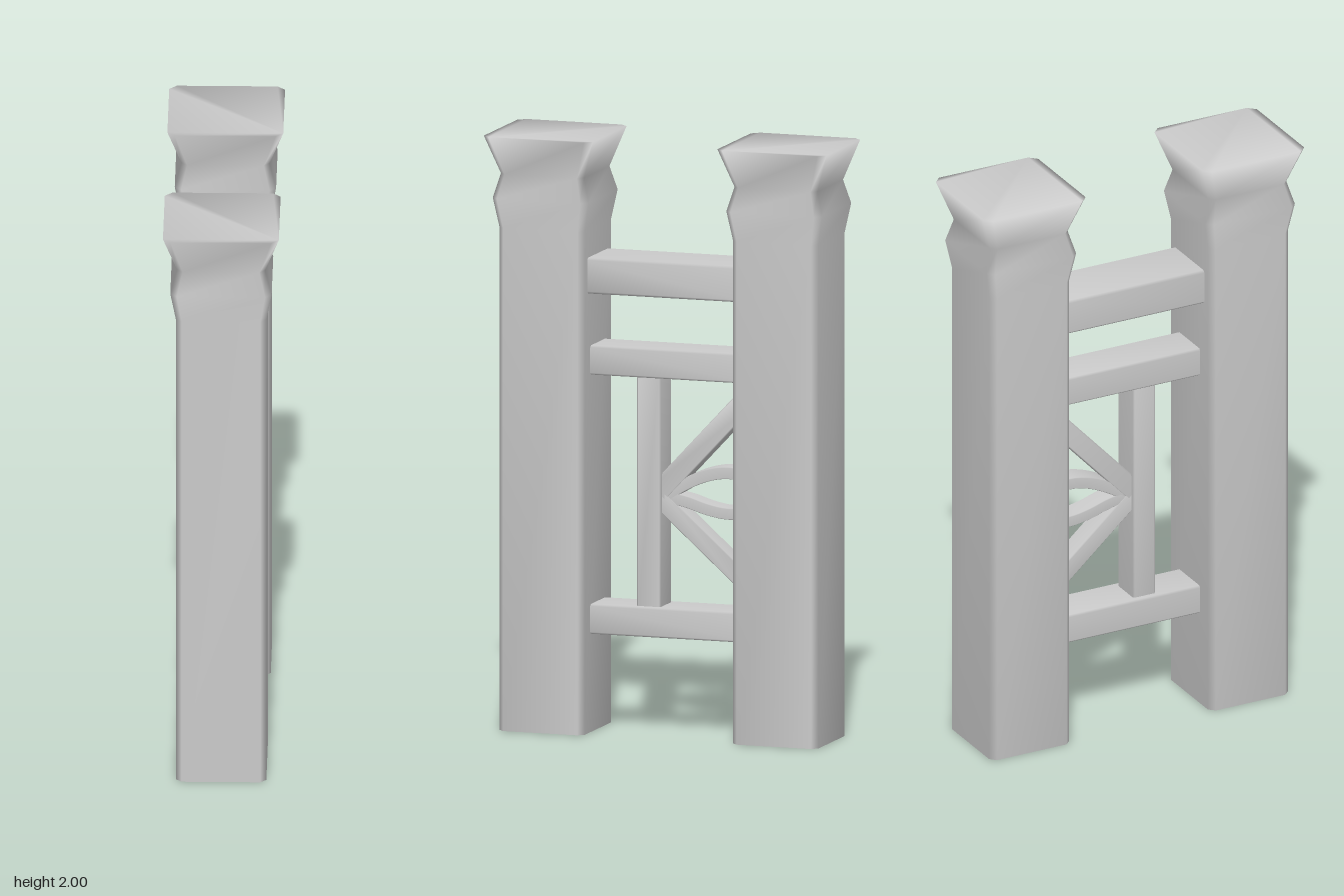
import * as THREE from 'three';

const material = new THREE.MeshStandardMaterial({ color: 0xcccccc });

// Smooth bar with a chamfered rectangular section, swept along [z, y] points.
// halfX and halfN may be a number or one value per point.
function bar(name, path, halfX, halfN, chamfer = 0.13) {
  const at = (value, i) => (Array.isArray(value) ? value[i] : value);
  const positions = [], index = [], last = path.length - 1;
  path.forEach(([z, y], i) => {
    const a = path[Math.max(i - 1, 0)], b = path[Math.min(i + 1, last)];
    const length = Math.hypot(b[0] - a[0], b[1] - a[1]);
    const tz = (b[0] - a[0]) / length, ty = (b[1] - a[1]) / length;
    const w = at(halfX, i), h = at(halfN, i), c = chamfer * Math.min(w, h);
    const section = [
      [w, c - h], [w, h - c], [w - c, h], [c - w, h],
      [-w, h - c], [-w, c - h], [c - w, -h], [w - c, -h],
    ];
    for (const [u, v] of section) positions.push(u, y + v * tz, z - v * ty);
  });
  for (let i = 0; i < last; i++) {
    for (let j = 0; j < 8; j++) {
      const a = i * 8 + j, b = i * 8 + (j + 1) % 8;
      index.push(a, b, b + 8, a, b + 8, a + 8);
    }
  }
  // End caps
  for (let j = 1; j < 7; j++) {
    index.push(0, j + 1, j);
    index.push(last * 8, last * 8 + j, last * 8 + j + 1);
  }
  const geometry = new THREE.BufferGeometry();
  geometry.setAttribute('position', new THREE.Float32BufferAttribute(positions, 3));
  geometry.setIndex(index);
  geometry.computeVertexNormals();
  const mesh = new THREE.Mesh(geometry, material);
  mesh.name = name;
  return mesh;
}

// Smooth [z, y] path through a few points
function curved(points) {
  const curve = new THREE.CatmullRomCurve3(points.map(([z, y]) => new THREE.Vector3(0, y, z)));
  return curve.getPoints(14).map((p) => [p.z, p.y]);
}

export function createModel() {
  const model = new THREE.Group();
  model.name = 'railing';

  // Square posts with a waisted, flared capital
  const heights = [0, 1.69, 1.79, 1.87, 2];
  const widths = [0.15, 0.15, 0.168, 0.146, 0.192];
  for (const [name, z] of [['frontPost', 0.41], ['backPost', -0.41]]) {
    model.add(bar(name, heights.map((y) => [z, y]), widths, widths));
  }

  // Horizontal rails: name, centre height, half width, half height
  for (const [name, y, w, h] of [
    ['topRail', 1.538, 0.107, 0.06],
    ['middleRail', 1.25, 0.077, 0.049],
    ['bottomRail', 0.38, 0.077, 0.05],
  ]) model.add(bar(name, [[-0.28, y], [0.28, y]], w, h));

  // Upright between the middle and bottom rails
  model.add(bar('baluster', [[0.063, 0.41], [0.063, 1.22]], 0.055, 0.042));

  // Straight braces fanning from the upright to the back post
  model.add(bar('upperBrace', [[0.035, 0.812], [-0.29, 1.16]], 0.04, 0.035));
  model.add(bar('lowerBrace', [[0.035, 0.793], [-0.29, 0.506]], 0.04, 0.03));

  // Curved braces between them
  model.add(bar('upperCurvedBrace', curved([
    [0.03, 0.79], [-0.06, 0.845], [-0.13, 0.876], [-0.2, 0.89], [-0.28, 0.883],
  ]), 0.038, 0.02));
  model.add(bar('lowerCurvedBrace', curved([
    [0.03, 0.80], [-0.06, 0.786], [-0.13, 0.765], [-0.2, 0.753], [-0.28, 0.757],
  ]), 0.038, 0.019));

  return model;
}
